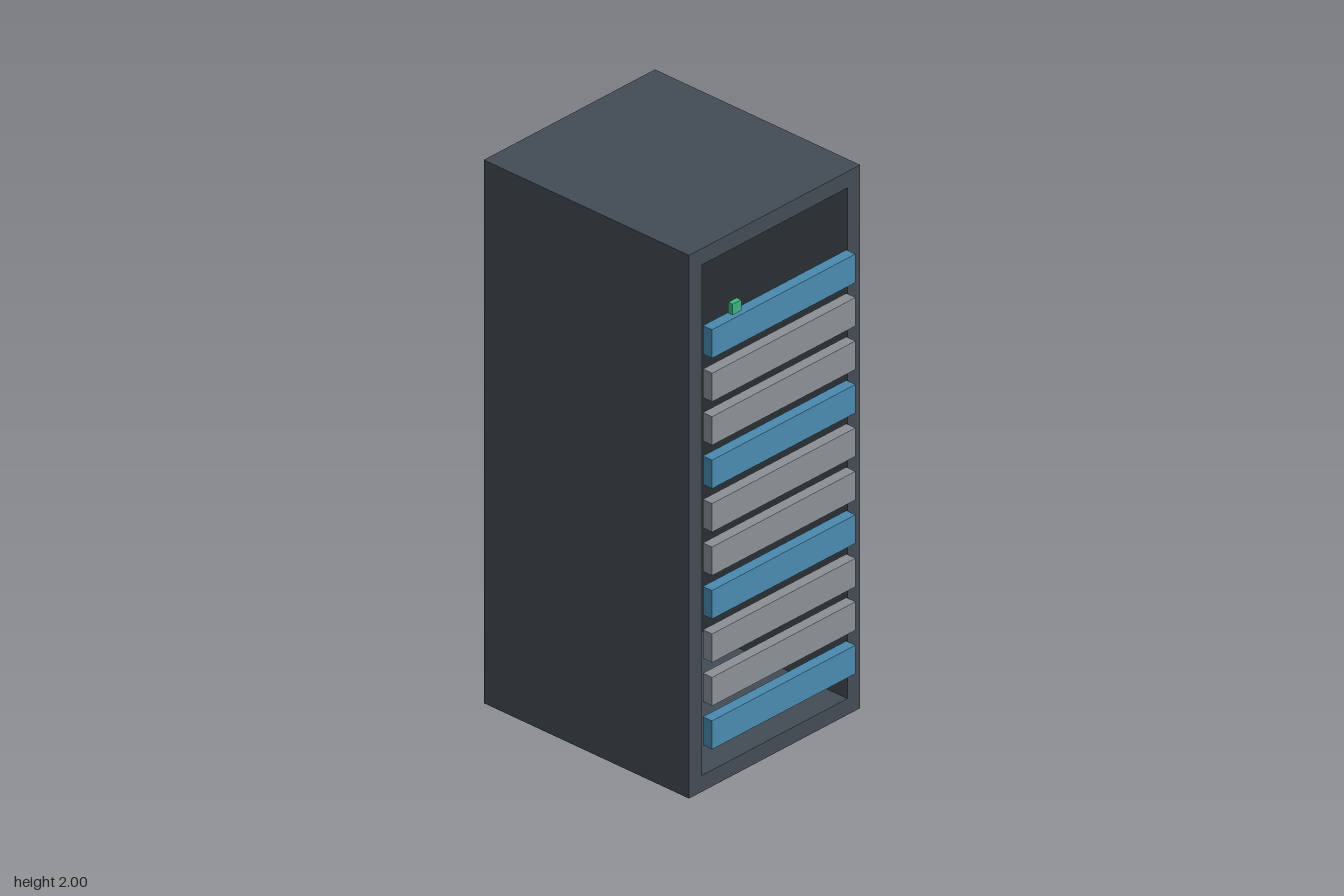
import * as THREE from 'three';

const paint = (color) => new THREE.MeshStandardMaterial({ color });

const WIDTH = 0.8, HEIGHT = 2, WALL = 0.06;
const BACK = -0.48, FRONT = 0.42;

// Rectangle corners, x from -w to w and y from y0 to y1
const rectangle = (w, y0, y1) => [[-w, y0], [w, y0], [w, y1], [-w, y1]].map(([x, y]) => new THREE.Vector2(x, y));

function addBox(group, name, size, position, material) {
  const mesh = new THREE.Mesh(new THREE.BoxGeometry(...size), material);
  mesh.name = name;
  mesh.position.set(...position);
  group.add(mesh);
}

export function createModel() {
  const model = new THREE.Group();
  model.name = 'serverRack';

  // Cabinet: a square tube, open at the front and back
  const outline = new THREE.Shape(rectangle(WIDTH / 2, 0, HEIGHT));
  outline.holes.push(new THREE.Path(rectangle(WIDTH / 2 - WALL, WALL, HEIGHT - WALL)));
  const cabinet = new THREE.Mesh(
    new THREE.ExtrudeGeometry(outline, { depth: FRONT - BACK, bevelEnabled: false }),
    paint(0x434c55)
  );
  cabinet.name = 'cabinet';
  cabinet.position.z = BACK;
  model.add(cabinet);

  // Ten unit panels on the front, every third one blue
  const blue = paint(0x4a8ab0), grey = paint(0x8c9196);
  const units = new THREE.Group();
  units.name = 'units';
  for (let i = 0; i < 10; i++) {
    addBox(units, `unitPanel${i + 1}`, [0.67, 0.105, 0.04], [0, 0.222 + i * 0.16, FRONT + 0.02], i % 3 === 0 ? blue : grey);
  }
  model.add(units);

  // Status light above the top panel
  addBox(model, 'statusLight', [0.04, 0.04, 0.02], [-0.24, 1.765, 0.47], paint(0x3cb482));

  return model;
}
